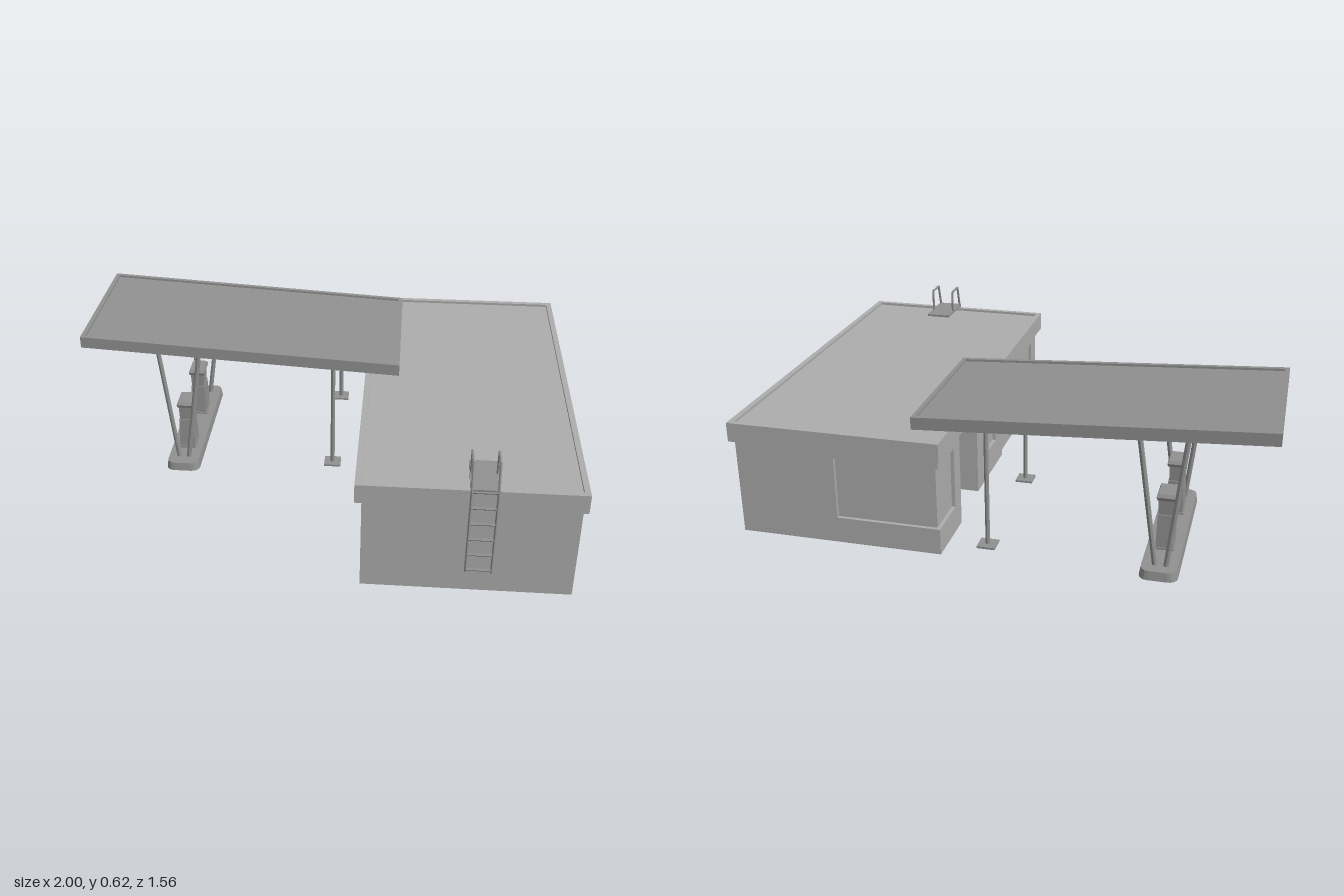
import * as THREE from 'three';

const grey = (color) => new THREE.MeshStandardMaterial({ color, flatShading: true, side: THREE.DoubleSide });
const light = grey(0xadadad); // walls and roof
const dark = grey(0x919191); // canopy, metalwork and pumps
const T = 0.014; // wall thickness

function add(parent, name, geo, mat = light) {
  const m = new THREE.Mesh(geo, mat);
  m.name = name;
  parent.add(m);
  return m;
}

// box given by its limits
function box(parent, name, x0, x1, y0, y1, z0, z1, mat) {
  const m = add(parent, name, new THREE.BoxGeometry(x1 - x0, y1 - y0, z1 - z0), mat);
  m.position.set((x0 + x1) / 2, (y0 + y1) / 2, (z0 + z1) / 2);
}

// dark bar between two points
function bar(parent, name, a, b, r, sides = 6) {
  const p = new THREE.Vector3(...a), q = new THREE.Vector3(...b);
  const m = add(parent, name, new THREE.CylinderGeometry(r, r, p.distanceTo(q), sides), dark);
  m.position.copy(p).add(q).multiplyScalar(0.5);
  m.quaternion.setFromUnitVectors(new THREE.Vector3(0, 1, 0), q.sub(p).normalize());
}

const toPoints = (pts) => pts.map(([u, v]) => new THREE.Vector2(u, v));
const rect = (u0, u1, v0, v1) => [[u0, v0], [u1, v0], [u1, v1], [u0, v1]];

function plate(outline, holes, depth) {
  const shape = new THREE.Shape(toPoints(outline));
  holes.forEach((h) => shape.holes.push(new THREE.Path(toPoints(h))));
  return new THREE.ExtrudeGeometry(shape, { depth, bevelEnabled: false });
}

// wall across x, outline in (z, y), filling xMax - T .. xMax
function wallX(parent, name, xMax, outline, holes = []) {
  add(parent, name, plate(outline, holes, T).rotateY(-Math.PI / 2)).position.x = xMax;
}

// wall across z, outline in (x, y), filling z0 .. z0 + T
function wallZ(parent, name, z0, outline) {
  add(parent, name, plate(outline, [], T)).position.z = z0;
}

// horizontal rectangular rim of width w
function rim(parent, name, x0, x1, y0, y1, z0, z1, w, mat) {
  const geo = plate(rect(x0, x1, -z1, -z0), [rect(x0 + w, x1 - w, -z1 + w, -z0 - w)], y1 - y0);
  add(parent, name, geo.rotateX(-Math.PI / 2), mat).position.y = y0;
}

function createBuilding() {
  const g = new THREE.Group();
  g.name = 'building';
  const b = 0.037, t = 0.47, x0 = 0.192, xw = 0.205, x1 = 0.985, z0 = -0.757, z1 = 0.745, xn = 0.285;

  wallZ(g, 'frontWall', z1 - T, rect(xw, x1, b, t));
  wallX(g, 'sideDoorWall', x1,
    [[z0, b], [-0.192, b], [-0.192, 0.305], [-0.017, 0.305], [-0.017, b], [z1, b], [z1, t], [z0, t]]);
  box(g, 'sideDoor', x1 - 0.018, x1 - 0.01, b, 0.305, -0.192, -0.017);
  for (const z of [-0.192, -0.024]) box(g, 'sideDoorFrame', x1 - 0.012, x1, b, 0.305, z, z + 0.007, dark);
  box(g, 'sideDoorFrame', x1 - 0.012, x1, 0.298, 0.305, -0.192, -0.017, dark);

  // back wall and side wall with the window that wraps the corner
  wallZ(g, 'backWall', z0,
    [[x0, b], [x1, b], [x1, t], [x0, t], [x0, 0.385], [0.595, 0.385], [0.595, 0.14], [x0, 0.14]]);
  wallX(g, 'cornerWall', x0 + T,
    [[z0, b], [-0.5, b], [-0.5, t], [z0, t], [z0, 0.385], [-0.57, 0.385], [-0.57, 0.14], [z0, 0.14]]);
  box(g, 'cornerWindow', x0 + T, 0.595, 0.14, 0.385, z0 + T, z0 + T + 0.006);
  box(g, 'cornerWindow', x0 + T, x0 + T + 0.006, 0.14, 0.385, z0 + T, -0.57);

  // recessed entrance
  wallZ(g, 'entranceReturn', -0.5 - T, rect(x0, xn + T, b, t));
  wallZ(g, 'entranceReturn', -0.23, rect(xw, xn + T, b, t));
  wallX(g, 'entranceWall', xn + T,
    [[-0.5, b], [-0.45, b], [-0.45, 0.32], [-0.28, 0.32], [-0.28, b], [-0.23, b], [-0.23, t], [-0.5, t]]);
  box(g, 'entranceDoor', xn + T, xn + T + 0.006, b, 0.32, -0.45, -0.28);
  box(g, 'entranceSoffit', x0, xn, 0.42, 0.43, -0.5, -0.23);

  // workshop side with wide door and window
  wallX(g, 'workshopWall', xw + T,
    [[-0.23, b], [0.135, b], [0.135, 0.375], [0.67, 0.375], [0.67, b], [z1, b], [z1, t], [-0.23, t]],
    [rect(-0.13, 0.04, 0.15, 0.385)]);
  box(g, 'workshopDoor', xw + T, xw + T + 0.006, b, 0.375, 0.135, 0.67);
  box(g, 'workshopWindow', xw + T, xw + T + 0.006, 0.15, 0.385, -0.13, 0.04);

  // roof
  rim(g, 'roofFascia', 0.18, 1, 0.42, 0.495, -0.78, 0.767, 0.022);
  box(g, 'roofDeck', 0.2, 0.98, 0.465, 0.485, -0.76, 0.747);
  return g;
}

function createLadder() {
  const g = new THREE.Group();
  g.name = 'roofLadder';
  const xs = [0.588, 0.682];
  for (const x of xs) {
    const path = [[0.145, 0.776], [0.5, 0.776], [0.598, 0.748], [0.598, 0.668], [0.505, 0.668]];
    for (let i = 1; i < path.length; i++)
      bar(g, 'ladderRail', [x, ...path[i - 1]], [x, ...path[i]], 0.005);
  }
  for (let i = 0; i < 6; i++) {
    const y = 0.155 + i * 0.068;
    bar(g, 'ladderRung', [xs[0], y, 0.776], [xs[1], y, 0.776], 0.005);
  }
  box(g, 'ladderPlatform', 0.583, 0.687, 0.498, 0.507, 0.59, 0.778, dark);
  return g;
}

function createCanopy() {
  const g = new THREE.Group();
  g.name = 'canopy';
  const roof = new THREE.Group();
  roof.name = 'canopyRoof';
  rim(roof, 'canopyRim', -1, 0.318, -0.048, 0, -0.677, -0.031, 0.018, dark);
  box(roof, 'canopyDeck', -0.985, 0.303, -0.038, -0.009, -0.662, -0.046, dark);
  // slope the roof down towards the building
  roof.children.forEach((m) => {
    m.updateMatrix();
    m.geometry.applyMatrix4(m.matrix);
    m.position.set(0, 0, 0);
    const p = m.geometry.attributes.position;
    for (let i = 0; i < p.count; i++) p.setY(i, p.getY(i) + 0.617 - (p.getX(i) + 1) * 0.0563);
    m.geometry.computeVertexNormals();
  });
  g.add(roof);

  for (const z of [-0.64, -0.068]) {
    bar(g, 'canopyPost', [0.045, 0.028, z], [0.045, 0.53, z], 0.009, 8);
    box(g, 'postFoot', 0.01, 0.08, 0.033, 0.041, z - 0.034, z + 0.034, dark);
  }
  for (const z of [-0.635, -0.065]) {
    bar(g, 'slantedPost', [-0.628, 0.03, z], [-0.688, 0.565, z], 0.01, 8);
    bar(g, 'slantedPost', [-0.587, 0.03, z], [-0.513, 0.555, z], 0.01, 8);
  }
  return g;
}

function createPump(z) {
  const g = new THREE.Group();
  g.name = 'fuelPump';
  g.position.set(-0.605, 0, z);
  // square tapered blocks: half width at bottom and top, then heights
  const parts = [
    ['pumpFoot', 0.036, 0.036, 0.033, 0.042], ['pumpBody', 0.033, 0.03, 0.042, 0.175],
    ['pumpDisplay', 0.027, 0.029, 0.175, 0.237],
    ['pumpCap', 0.033, 0.036, 0.237, 0.25], ['pumpCap', 0.036, 0.031, 0.25, 0.263],
  ];
  for (const [name, a, b, y0, y1] of parts) {
    const geo = new THREE.CylinderGeometry(b * Math.SQRT2, a * Math.SQRT2, y1 - y0, 4);
    geo.rotateY(Math.PI / 4).scale(1, 1, 1.45);
    add(g, name, geo, dark).position.y = (y0 + y1) / 2;
  }
  return g;
}

// rectangle with rounded corners
function roundedRect(hx, hz, r) {
  const pts = [];
  [[1, 1], [-1, 1], [-1, -1], [1, -1]].forEach(([sx, sz], k) => {
    for (let i = 0; i <= 4; i++) {
      const a = (k + i / 4) * Math.PI / 2;
      pts.push([sx * (hx - r) + r * Math.cos(a), sz * (hz - r) + r * Math.sin(a)]);
    }
  });
  return pts;
}

function createIsland() {
  const g = new THREE.Group();
  g.name = 'pumpIsland';
  const kerb = plate(roundedRect(0.072, 0.349, 0.035), [roundedRect(0.054, 0.33, 0.025)], 0.035);
  kerb.rotateX(-Math.PI / 2);
  // kerb leans inward towards its top
  const p = kerb.attributes.position;
  for (let i = 0; i < p.count; i++)
    if (p.getY(i) > 0.02) p.setXYZ(i, p.getX(i) * 0.93, p.getY(i), p.getZ(i) * 0.984);
  kerb.computeVertexNormals();
  add(g, 'islandKerb', kerb, dark);
  const top = plate(roundedRect(0.06, 0.335, 0.027), [], 0.01).rotateX(-Math.PI / 2);
  add(g, 'islandTop', top, dark).position.y = 0.0245;
  g.position.set(-0.605, 0, -0.346);
  return g;
}

export function createModel() {
  const model = new THREE.Group();
  model.name = 'fillingStation';
  model.add(createBuilding(), createLadder(), createCanopy(), createIsland(), createPump(-0.18), createPump(-0.473));
  return model;
}
